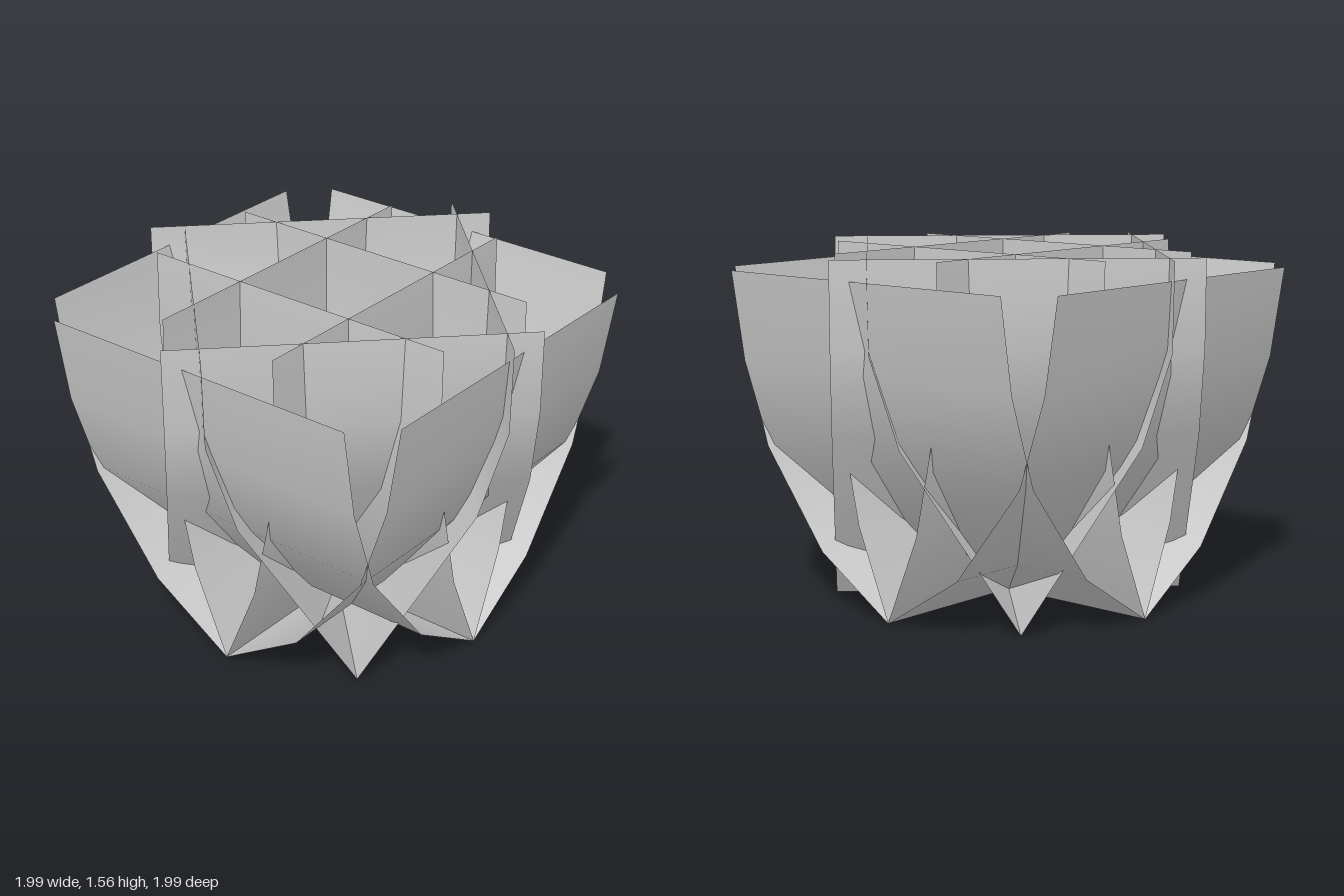
import * as THREE from 'three';

const HALF_WIDTH = 0.78;

const material = new THREE.MeshStandardMaterial({ color: 0xcccccc, side: THREE.DoubleSide });

// Constant-width leaf blade: a plane bent along a profile of [outward, up] points
function bladeGeometry(profile) {
  const rows = profile.length - 1;
  const geo = new THREE.PlaneGeometry(2 * HALF_WIDTH, 1, 1, rows);
  const pos = geo.attributes.position;
  for (let i = 0; i < pos.count; i++) {
    const [out, up] = profile[rows - Math.floor(i / 2)];
    pos.setXYZ(i, pos.getX(i), up, out);
  }
  geo.computeVertexNormals();
  return geo;
}

// Three rings of four blades, all rising from the centre of the ground
const rings = [
  { name: 'outerBlade', turn: 0,
    profile: [[0, 0], [0.40, 0.25], [0.74, 0.68], [0.87, 1.07], [0.935, 1.47]] },
  { name: 'middleBlade', turn: Math.PI / 4,
    profile: [[0, 0], [0.5, 0.79], [0.62, 1.18], [0.625, 1.56]] },
  { name: 'innerBlade', turn: 0,
    profile: [[0, 0], [0.17, 0.4], [0.26, 0.8], [0.3, 1.18], [0.295, 1.56]] },
];

export function createModel() {
  const plant = new THREE.Group();
  plant.name = 'leafyPlant';
  for (const { name, turn, profile } of rings) {
    const geo = bladeGeometry(profile);
    for (let i = 0; i < 4; i++) {
      const blade = new THREE.Mesh(geo, material);
      blade.name = name + (i + 1);
      blade.rotation.y = turn + i * Math.PI / 2;
      plant.add(blade);
    }
  }
  return plant;
}
